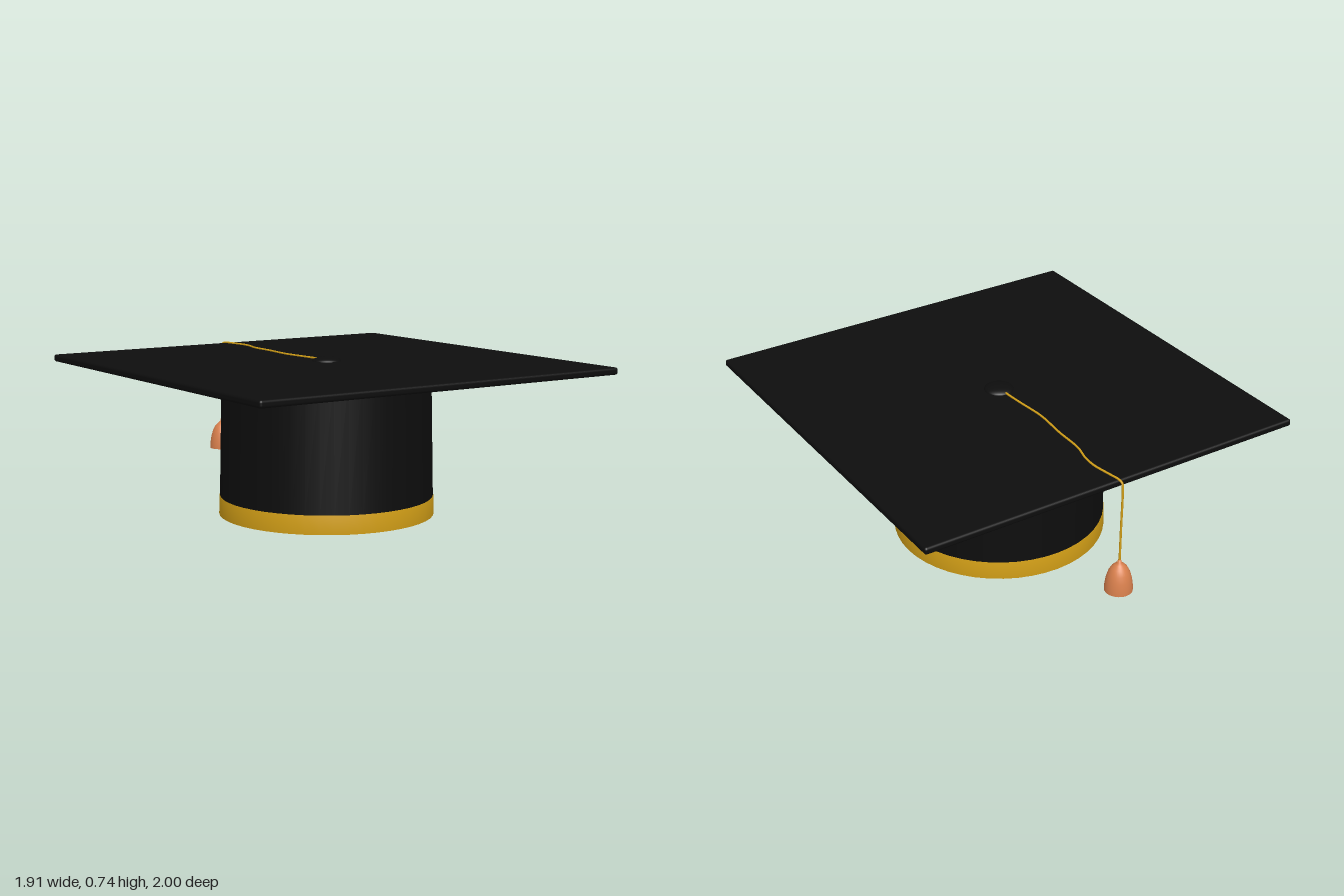
import * as THREE from 'three';
import { RoundedBoxGeometry } from 'three/addons/geometries/RoundedBoxGeometry.js';

const CENTER_Z = 0.0425; // axis of the cap and board
const TASSEL_Z = -0.935; // where the cord hangs

const material = (color, side = THREE.FrontSide) => new THREE.MeshStandardMaterial({ color, side });

function addMesh(parent, name, geometry, mat, x = 0, y = 0, z = 0) {
  const mesh = new THREE.Mesh(geometry, mat);
  mesh.name = name;
  mesh.position.set(x, y, z);
  parent.add(mesh);
  return mesh;
}

export function createModel() {
  const group = new THREE.Group();
  group.name = 'graduationCap';
  const black = material(0x0d0d0d);
  const blackOpen = material(0x0d0d0d, THREE.DoubleSide);
  const gold = material(0xd4a017, THREE.DoubleSide);
  const copper = material(0xd9804d, THREE.DoubleSide);

  // Hollow, slightly tapered crown
  addMesh(group, 'crown', new THREE.CylinderGeometry(0.493, 0.507, 0.64, 48, 1, true), blackOpen, 0, 0.38, CENTER_Z);

  // Gold band around the open rim, visible inside and out
  const band = [[0.502, 0.088], [0.502, 0], [0.511, 0], [0.509, 0.088], [0.502, 0.088]];
  const bandGeometry = new THREE.LatheGeometry(band.map(([r, y]) => new THREE.Vector2(r, y)), 48);
  addMesh(group, 'rimBand', bandGeometry, gold, 0, 0, CENTER_Z);

  // Square board with softened edges
  addMesh(group, 'board', new RoundedBoxGeometry(1.914, 0.034, 1.914, 3, 0.012), black, 0, 0.707, CENTER_Z);

  // Flattened button in the middle of the board
  const button = new THREE.SphereGeometry(0.07, 32, 12, 0, Math.PI * 2, 0, Math.PI / 2);
  button.scale(1, 0.33, 1);
  addMesh(group, 'button', button, black, 0, 0.721, CENTER_Z);

  // Wavy cord over the board, bending down at the back edge
  const path = [
    [0, 0.728, 0.03], [0, 0.728, -0.02], [-0.008, 0.727, -0.13], [-0.02, 0.727, -0.28],
    [-0.006, 0.727, -0.45], [0, 0.727, -0.6], [0.022, 0.727, -0.69], [0.027, 0.727, -0.76],
    [0.014, 0.727, -0.85], [0.004, 0.726, -0.91], [0, 0.716, -0.93],
    [0, 0.69, TASSEL_Z], [0, 0.5, TASSEL_Z], [0, 0.3, TASSEL_Z],
  ];
  const curve = new THREE.CatmullRomCurve3(path.map((p) => new THREE.Vector3(...p)));
  addMesh(group, 'cord', new THREE.TubeGeometry(curve, 160, 0.005, 8), gold);

  // Bell-shaped tassel with a small neck
  const bell = [
    [0.064, 0.17], [0.063, 0.195], [0.058, 0.23], [0.049, 0.262],
    [0.036, 0.287], [0.021, 0.303], [0.011, 0.312], [0.007, 0.325], [0, 0.327],
  ];
  const bellGeometry = new THREE.LatheGeometry(bell.map(([r, y]) => new THREE.Vector2(r, y)), 32);
  addMesh(group, 'tassel', bellGeometry, copper, 0, 0, TASSEL_Z);
  const base = addMesh(group, 'tasselBase', new THREE.CircleGeometry(0.064, 32), copper, 0, 0.17, TASSEL_Z);
  base.rotation.x = Math.PI / 2;

  return group;
}
